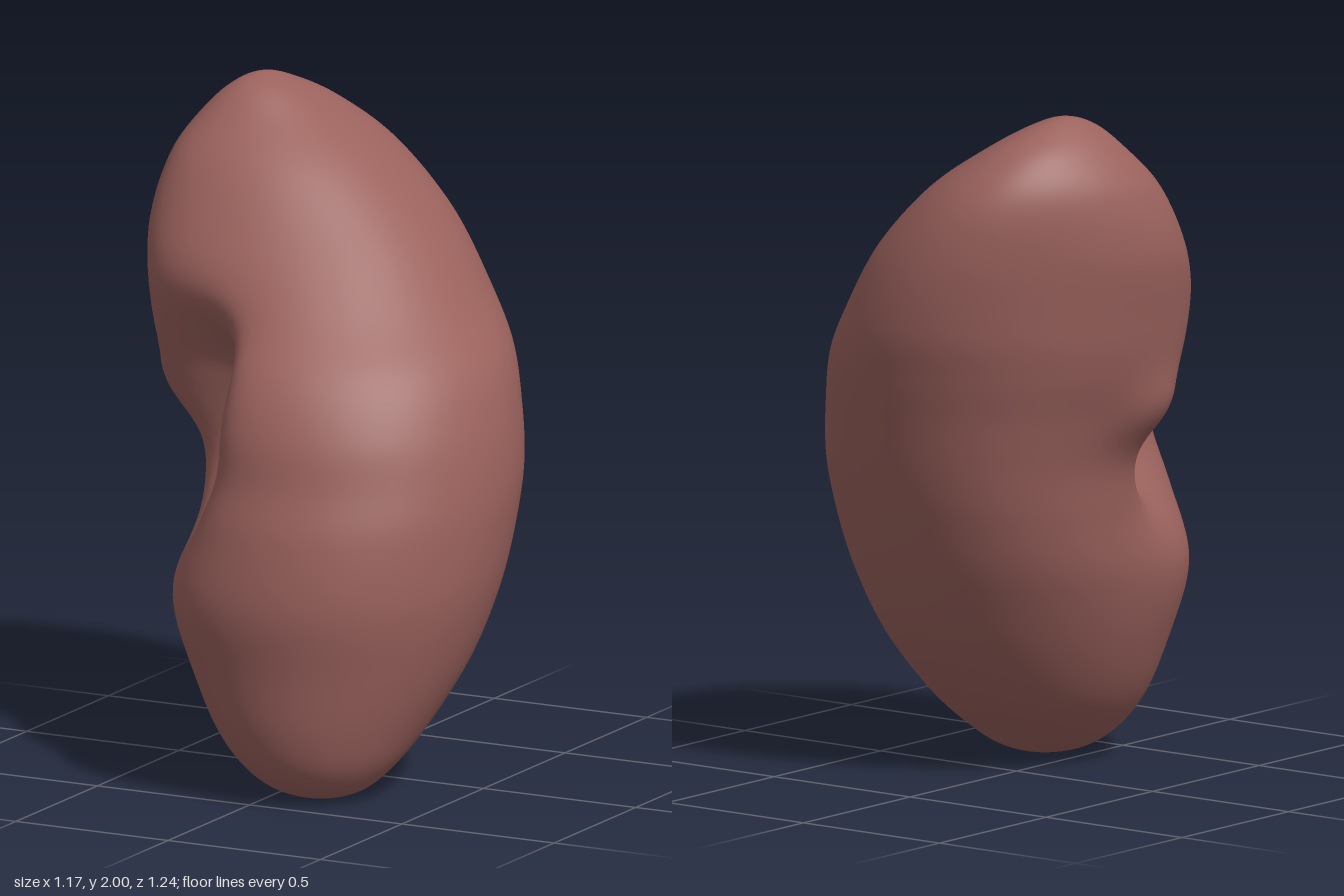
import * as THREE from 'three';
import { mergeVertices } from 'three/addons/utils/BufferGeometryUtils.js';

// Horizontal cross-sections: y, xMin, xMax, zMin, zMax
const SECTIONS = [
  [0, 0.13, 0.13, 0.30, 0.30],
  [0.025, 0.0, 0.25, 0.17, 0.42],
  [0.1, -0.11, 0.335, 0.04, 0.505],
  [0.22, -0.21, 0.41, -0.11, 0.555],
  [0.4, -0.295, 0.495, -0.26, 0.585],
  [0.6, -0.355, 0.555, -0.37, 0.615],
  [0.8, -0.375, 0.58, -0.45, 0.595],
  [0.95, -0.4, 0.58, -0.505, 0.555],
  [1.1, -0.455, 0.555, -0.55, 0.525],
  [1.25, -0.52, 0.5, -0.59, 0.465],
  [1.4, -0.555, 0.39, -0.615, 0.36],
  [1.6, -0.585, 0.24, -0.605, 0.22],
  [1.78, -0.553, 0.055, -0.548, 0.1],
  [1.9, -0.48, -0.12, -0.44, -0.02],
  [1.975, -0.4, -0.245, -0.3, -0.11],
  [2, -0.33, -0.33, -0.2, -0.2],
];

// Local fullness: angle (degrees from +x toward +z), height, height spread, amount
const FULLNESS = [
  [225, 0.82, 0.3, 0.11],
  [225, 1.6, 0.22, -0.05],
  [135, 0.52, 0.22, 0.05],
  [315, 1.1, 0.25, -0.03],
];

// Smooth spline through the sections, mirrored past each end so the poles are round
function sectionAt(t) {
  const n = SECTIONS.length - 1;
  const i = Math.min(Math.floor(t * n), n - 1);
  const f = t * n - i;
  const row = (k) => {
    if (k >= 0 && k <= n) return SECTIONS[k];
    const [y, x0, x1, z0, z1] = SECTIONS[k < 0 ? -k : 2 * n - k];
    return [y, x1, x0, z1, z0];
  };
  return row(i).map((b, k) => {
    const a = row(i - 1)[k], c = row(i + 1)[k], d = row(i + 2)[k];
    return b + 0.5 * f * (c - a + f * (2 * a - 5 * b + 4 * c - d + f * (3 * (b - c) + d - a)));
  });
}

function fullnessAt(angle, y) {
  return FULLNESS.reduce((sum, [deg, height, spread, amount]) => {
    const facing = Math.max(0, Math.cos(angle - THREE.MathUtils.degToRad(deg)));
    return sum + amount * facing ** 7 * Math.exp(-(((y - height) / spread) ** 2));
  }, 1);
}

// Hollow on the inner side of the bean (facing -x and +z) and the lobe hanging beside it
function shapeInnerSide(x, y, z) {
  const across = (x + z) * Math.SQRT1_2, depth = (x - z) * Math.SQRT1_2;
  if (depth > -0.05) return [x, z];
  const tall = y < 1.18 ? ((1.18 - y) / 0.38) ** 3 : ((y - 1.18) / 0.2) ** 2;
  const push = 0.2 * Math.exp(-(((across - 0.02) / 0.17) ** 2) - tall);
  const lobe = 0.05 * Math.exp(-(((z - 0.07) / 0.17) ** 2) - ((y - 1.12) / 0.1) ** 2)
    * THREE.MathUtils.smoothstep(-depth, 0.05, 0.3);
  return [x + push - lobe, z - push];
}

function bodyGeometry(rings = 120, sides = 112) {
  const pos = [], index = [];
  for (let r = 0; r <= rings; r++) {
    const [y, x0, x1, z0, z1] = sectionAt(r / rings);
    // The -x side swings toward the front in the upper half
    const swing = 0.08 + 0.24 * THREE.MathUtils.smoothstep(y, 1, 1.7);
    for (let s = 0; s < sides; s++) {
      const a = (s / sides) * Math.PI * 2;
      const full = fullnessAt(a, y);
      const u = Math.cos(a), v = Math.sin(a) - swing * u * (1 - u) / 2;
      const [x, z] = shapeInnerSide(
        (x0 + x1) / 2 + full * u * (x1 - x0) / 2, y, (z0 + z1) / 2 + full * v * (z1 - z0) / 2);
      pos.push(x, y, z);
      if (r < rings) {
        const p = r * sides + s, q = r * sides + (s + 1) % sides;
        index.push(p, p + sides, q, q, p + sides, q + sides);
      }
    }
  }
  let g = new THREE.BufferGeometry();
  g.setAttribute('position', new THREE.Float32BufferAttribute(pos, 3));
  g.setIndex(index);
  g = mergeVertices(g, 1e-5);
  g.computeVertexNormals();
  return g;
}

export function createModel() {
  const group = new THREE.Group();
  group.name = 'kidney';
  const flesh = new THREE.MeshStandardMaterial({ name: 'flesh', color: 0x9b625d });

  const body = new THREE.Mesh(bodyGeometry(), flesh);
  body.name = 'body';
  group.add(body);
  return group;
}
